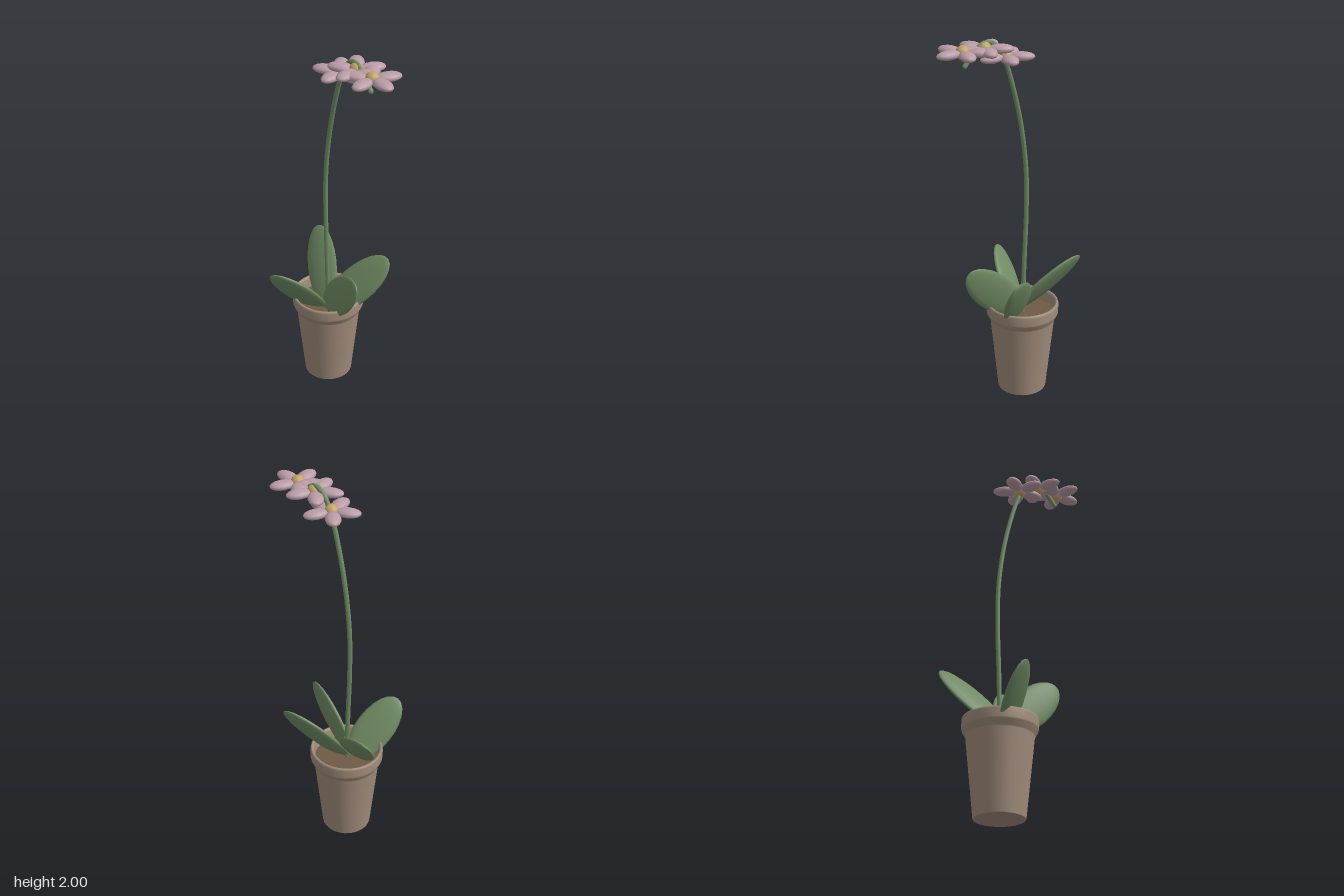
import * as THREE from 'three';

const V = (x, y, z) => new THREE.Vector3(x, y, z);
const mat = (name, color, side = THREE.FrontSide) => {
  const m = new THREE.MeshStandardMaterial({ color, side });
  m.name = name;
  return m;
};

export function createModel() {
  const clay = mat('clay', 0xa18d7b, THREE.DoubleSide);
  const soilBrown = mat('soil brown', 0x6e5b45);
  const leafGreen = mat('leaf green', 0x6f8a63);
  const petalPink = mat('petal pink', 0xba9ca7);
  const pollenYellow = mat('pollen yellow', 0xc0a466);

  const model = new THREE.Group();
  model.name = 'pottedFlower';
  const PX = -0.105, PZ = -0.035; // pot axis

  const add = (name, geometry, material, parent = model) => {
    const mesh = new THREE.Mesh(geometry, material);
    mesh.name = name;
    parent.add(mesh);
    return mesh;
  };

  // Pot: tapered wall, outer rim and inner wall, with doubled points for crisp edges
  const wall = [[0.129, 0], [0.131, 0.003], [0.174, 0.42], [0.177, 0.425], [0.193, 0.455],
    [0.195, 0.462], [0.195, 0.508], [0.192, 0.517], [0.186, 0.52], [0.179, 0.515],
    [0.175, 0.505], [0.168, 0.43]];
  add('pot', new THREE.LatheGeometry(wall.map(p => new THREE.Vector2(...p)), 32), clay)
    .position.set(PX, 0, PZ);
  const base = add('potBase', new THREE.CircleGeometry(0.129, 32), clay);
  base.rotation.x = Math.PI / 2;
  base.position.set(PX, 0, PZ);

  const soil = add('soil', new THREE.CircleGeometry(0.172, 24), soilBrown);
  soil.rotation.x = -Math.PI / 2;
  soil.position.set(PX, 0.455, PZ);

  // Leaves: flattened ellipsoids given by centre, half length vector and width direction
  const leafGeometry = new THREE.SphereGeometry(1, 16, 12);
  const leaf = (name, centre, along, across) => {
    const dir = along.clone().normalize();
    const side = across.clone().addScaledVector(dir, -across.dot(dir)).normalize();
    const normal = V(0, 0, 0).crossVectors(side, dir);
    const mesh = add(name, leafGeometry, leafGreen);
    mesh.quaternion.setFromRotationMatrix(new THREE.Matrix4().makeBasis(side, dir, normal));
    mesh.scale.set(0.103, along.length(), 0.023);
    mesh.position.copy(centre);
  };
  leaf('frontLeaf', V(-0.137, 0.57, 0.14), V(-0.03, 0.15, 0.14), V(0.085, 0.045, -0.032));
  leaf('rightLeaf', V(-0.235, 0.61, -0.085), V(-0.155, 0.15, -0.078), V(0.075, 0.065, -0.05));
  leaf('leftLeaf', V(0.06, 0.605, 0.003), V(0.155, 0.148, 0.005), V(-0.07, 0.075, -0.02));
  leaf('backLeaf', V(0.01, 0.59, -0.145), V(0.1, 0.17, -0.135), V(-0.08, 0.05, 0));

  // Stem: long bow that arches over the blooms and droops at its end
  const path = new THREE.CatmullRomCurve3([
    [-0.105, 0.44], [-0.115, 0.75], [-0.126, 1.05], [-0.122, 1.27], [-0.092, 1.5],
    [-0.04, 1.72], [0.015, 1.88], [0.065, 1.96], [0.125, 1.986], [0.19, 1.95], [0.25, 1.885],
  ].map(([x, y]) => V(x, y, PZ)));
  add('stem', new THREE.TubeGeometry(path, 60, 0.0125, 8), leafGreen);
  const tip = add('stemTip', new THREE.SphereGeometry(0.0125, 8, 6), leafGreen);
  tip.position.set(0.25, 1.885, PZ);

  // Flowers: five plump petals around a round centre
  const petalGeometry = new THREE.SphereGeometry(1, 12, 8);
  petalGeometry.rotateZ(Math.PI / 2);
  petalGeometry.scale(0.066, 0.023, 0.04);
  const centreGeometry = new THREE.SphereGeometry(0.036, 14, 10);
  [[0.01, 1.897], [0.135, 1.955], [0.26, 1.955]].forEach(([x, y], i) => {
    const flower = new THREE.Group();
    flower.name = `flower${i + 1}`;
    flower.position.set(x, y, PZ);
    for (let k = 0; k < 5; k++) {
      const a = k * Math.PI * 2 / 5;
      const petal = add('petal', petalGeometry, petalPink, flower);
      petal.position.set(Math.cos(a) * 0.08, 0, -Math.sin(a) * 0.08);
      petal.rotation.y = a;
    }
    add('flowerCentre', centreGeometry, pollenYellow, flower);
    model.add(flower);
  });

  return model;
}
